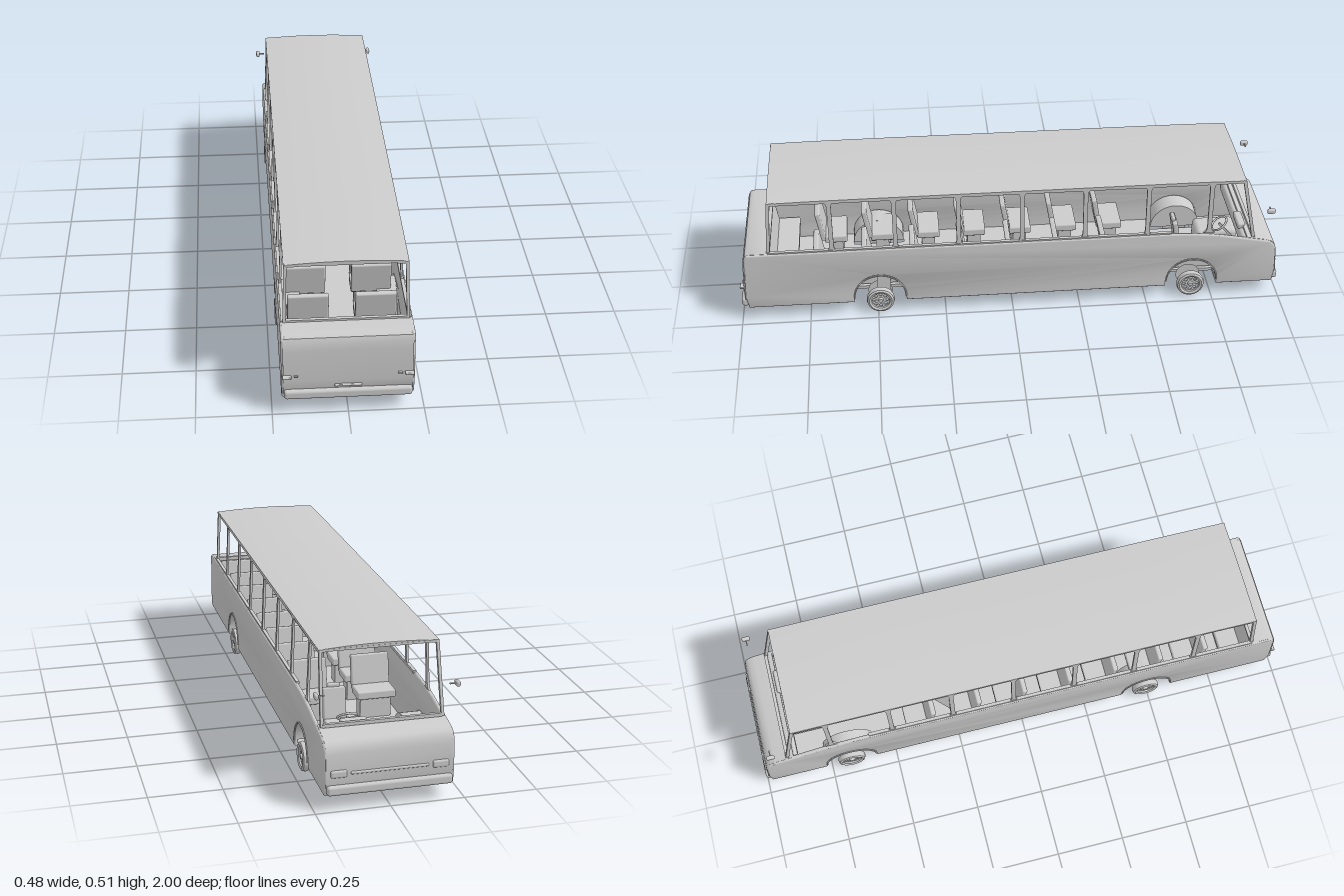
import * as THREE from 'three';
import { toCreasedNormals } from 'three/addons/utils/BufferGeometryUtils.js';
import { RoundedBoxGeometry } from 'three/addons/geometries/RoundedBoxGeometry.js';

const mat = new THREE.MeshStandardMaterial({ color: 0xcccccc });
const thin = new THREE.MeshStandardMaterial({ color: 0xcccccc, side: THREE.DoubleSide });
const WHEELS = [0.49, -0.67];
const SILL = 0.28, ROOF = 0.495;

export function createModel() {
  const bus = new THREE.Group();

  function add(name, geo, pos = [0, 0, 0], parent = bus, material = mat) {
    const m = new THREE.Mesh(geo, material);
    m.name = name;
    m.position.set(...pos);
    parent.add(m);
    return m;
  }
  const box = (name, w, h, d, x, y, z, parent = bus) =>
    add(name, new THREE.BoxGeometry(w, h, d), [x, y, z], parent);
  const rbox = (name, w, h, d, x, y, z, r, parent = bus) =>
    add(name, new RoundedBoxGeometry(w, h, d, 3, r), [x, y, z], parent);
  const polygon = pts => new THREE.Shape(pts.map(p => new THREE.Vector2(...p)));

  // Extrudes a (z, y) outline along x, from x0 to x1
  function extrudeX(shape, x0, x1, bevel = 0) {
    const g = new THREE.ExtrudeGeometry(shape, {
      depth: x1 - x0 - 2 * bevel, bevelEnabled: bevel > 0, bevelSize: bevel,
      bevelThickness: bevel, bevelOffset: -bevel, bevelSegments: 3, curveSegments: 20,
    });
    g.rotateY(-Math.PI / 2).translate(x1 - bevel, 0, 0);
    return toCreasedNormals(g, 0.6);
  }
  // A straight bar with square section between two points
  function bar(name, a, b, w, d) {
    const p = new THREE.Vector3(...a), q = new THREE.Vector3(...b);
    const m = box(name, w, p.distanceTo(q), d, 0, 0, 0);
    m.position.copy(p).add(q).multiplyScalar(0.5);
    m.quaternion.setFromUnitVectors(new THREE.Vector3(0, 1, 0), q.sub(p).normalize());
  }

  // Side walls with wheel arches cut from the lower edge
  const side = new THREE.Shape();
  side.moveTo(0.972, 0.05);
  for (const z of WHEELS) {
    side.lineTo(z + 0.096, 0.05);
    side.lineTo(z + 0.096, 0.072);
    side.absarc(z, 0.072, 0.096, 0, Math.PI, false);
    side.lineTo(z - 0.096, 0.05);
  }
  side.lineTo(-0.978, 0.05);
  side.lineTo(-0.985, 0.1);
  side.lineTo(-0.98, 0.2);
  side.quadraticCurveTo(-0.975, 0.228, -0.94, 0.237);
  side.lineTo(-0.78, 0.268);
  side.quadraticCurveTo(-0.68, 0.284, -0.58, 0.285);
  side.lineTo(0.955, 0.285);
  side.quadraticCurveTo(0.972, 0.285, 0.974, 0.265);
  side.lineTo(0.982, 0.1);
  for (const s of [-1, 1])
    add('sideWall', extrudeX(side, s > 0 ? 0.204 : -0.218, s > 0 ? 0.218 : -0.204, 0.006));

  // End panels with their decks
  const rear = polygon([[0.97, 0.05], [0.983, 0.08], [0.985, 0.12], [0.98, 0.23], [0.977, 0.262],
    [0.97, 0.278], [0.955, 0.286], [0.88, 0.286], [0.88, 0.278], [0.955, 0.276], [0.966, 0.255], [0.973, 0.1], [0.96, 0.05]]);
  add('tailPanel', extrudeX(rear, -0.212, 0.212));
  const nose = polygon([[-0.966, 0.05], [-0.972, 0.1], [-0.968, 0.2], [-0.935, 0.228], [-0.87, 0.242], [-0.87, 0.252],
    [-0.94, 0.238], [-0.962, 0.23], [-0.976, 0.215], [-0.982, 0.19], [-0.988, 0.1], [-0.978, 0.05]]);
  add('nosePanel', extrudeX(nose, -0.212, 0.212));

  // Floor pan, narrowed at the wheel wells
  box('floor', 0.27, 0.012, 1.94, 0, 0.056, 0);
  const spans = [[0.965, 0.586], [0.394, -0.574], [-0.766, -0.975]];
  for (const s of [-1, 1]) for (const [a, b] of spans)
    box('floorEdge', 0.075, 0.012, a - b, s * 0.1725, 0.056, (a + b) / 2);

  // Wheel: bulged side wall, drilled rim, hub and plain inner disc
  const tyre = toCreasedNormals(new THREE.LatheGeometry([[0.05, 0.198], [0.052, 0.206], [0.049, 0.218], [0.042, 0.222],
    [0.034, 0.218], [0.032, 0.208]].map(p => new THREE.Vector2(...p)), 32).rotateZ(-Math.PI / 2), 0.7);
  const disc = new THREE.Shape().absarc(0, 0, 0.034, 0, Math.PI * 2);
  for (let i = 0; i < 8; i++) {
    const a = i * Math.PI / 4;
    disc.holes.push(new THREE.Path().absarc(0.024 * Math.cos(a), 0.024 * Math.sin(a), 0.006, 0, Math.PI * 2, true));
  }
  const rim = extrudeX(disc, 0.207, 0.212);
  const hub = new THREE.CylinderGeometry(0.008, 0.012, 0.012, 16).rotateZ(-Math.PI / 2);
  const inner = new THREE.CircleGeometry(0.045, 32).rotateY(Math.PI / 2);
  const well = new THREE.CylinderGeometry(0.096, 0.096, 0.078, 24, 1, true, 0, Math.PI).rotateZ(Math.PI / 2);
  const wellCap = new THREE.CircleGeometry(0.096, 24, 0, Math.PI).rotateY(Math.PI / 2);
  for (const s of [-1, 1]) for (const z of WHEELS) {
    const g = new THREE.Group();
    g.name = 'wheel';
    g.position.set(0, 0.052, z);
    if (s < 0) g.rotation.y = Math.PI;
    bus.add(g);
    add('tyre', tyre, [0, 0, 0], g, thin);
    add('rim', rim, [0, 0, 0], g);
    add('hub', hub, [0.214, 0, 0], g);
    add('innerDisc', inner, [0.15, 0, 0], g, thin);
    add('wheelWell', well, [0.174, 0.02, 0], g, thin);
    add('wellCap', wellCap, [0.135, 0.02, 0], g, thin);
    const lip = new THREE.TorusGeometry(0.095, 0.003, 6, 24, Math.PI).rotateY(Math.PI / 2);
    add('archLip', lip, [0.218, 0.02, 0], g);
  }

  // Roof with a shallow crown
  const roof = new THREE.BoxGeometry(0.404, 0.01, 1.72, 16, 1, 12);
  const rp = roof.attributes.position;
  for (let i = 0; i < rp.count; i++) {
    const x = rp.getX(i) / 0.202, z = rp.getZ(i) / 0.86;
    rp.setY(i, rp.getY(i) + 0.008 * (1 - x * x) - 0.003 * z ** 8);
  }
  roof.computeVertexNormals();
  add('roof', roof, [0, 0.494, 0.013]);

  // Side window pillars, flared where they meet sill and roof
  const pillar = new THREE.Shape();
  pillar.moveTo(-0.022, SILL);
  pillar.lineTo(0.022, SILL);
  pillar.quadraticCurveTo(0.008, SILL + 0.008, 0.008, SILL + 0.03);
  pillar.lineTo(0.008, ROOF - 0.03);
  pillar.quadraticCurveTo(0.008, ROOF - 0.008, 0.022, ROOF);
  pillar.lineTo(-0.022, ROOF);
  pillar.quadraticCurveTo(-0.008, ROOF - 0.008, -0.008, ROOF - 0.03);
  pillar.lineTo(-0.008, SILL + 0.03);
  pillar.quadraticCurveTo(-0.008, SILL + 0.008, -0.022, SILL);
  for (const s of [-1, 1]) {
    const g = extrudeX(pillar, -0.004, 0.004);
    const p = g.attributes.position;
    for (let i = 0; i < p.count; i++) p.setX(i, p.getX(i) + s * (0.207 - 0.042 * (p.getY(i) - SILL)));
    for (let i = 0; i < 7; i++) add('windowPillar', g, [0, 0, 0.655 - 0.23 * i]);
    bar('rearPillar', [s * 0.203, SILL, 0.885], [s * 0.196, ROOF, 0.868], 0.01, 0.012);
    bar('windscreenPillar', [s * 0.203, 0.25, -0.893], [s * 0.196, ROOF, -0.843], 0.01, 0.012);
    box('roofRail', 0.01, 0.012, 1.71, s * 0.196, 0.491, 0.013);
    box('sillRail', 0.012, 0.01, 1.47, s * 0.207, 0.285, 0.15);
  }
  box('rearSill', 0.4, 0.01, 0.012, 0, 0.288, 0.884);
  box('windscreenSill', 0.4, 0.012, 0.012, 0, 0.255, -0.893);
  for (const z of [0.866, -0.842]) box('roofEndRail', 0.4, 0.008, 0.012, 0, 0.493, z);

  // Small pane behind the cab
  const pane = new THREE.ShapeGeometry(polygon([[-0.275, 0.34], [-0.27, 0.495], [-0.33, 0.495]])).rotateY(-Math.PI / 2);
  add('cabPane', pane, [-0.199, 0, 0], bus, thin);

  // Bumpers, lamps, plate bar and mirrors
  rbox('rearBumper', 0.42, 0.034, 0.028, 0, 0.07, 0.984, 0.01);
  rbox('frontBumper', 0.42, 0.034, 0.026, 0, 0.07, -0.986, 0.01);
  rbox('plateLamp', 0.09, 0.007, 0.012, 0, 0.1, 0.986, 0.003);
  rbox('grilleBar', 0.26, 0.01, 0.01, 0, 0.125, -0.986, 0.004);
  for (const s of [-1, 1]) {
    rbox('tailLamp', 0.03, 0.008, 0.022, s * 0.2, 0.14, 0.988, 0.003);
    rbox('reverseLamp', 0.014, 0.006, 0.012, s * 0.17, 0.14, 0.985, 0.002);
    rbox('headlamp', 0.055, 0.026, 0.016, s * 0.17, 0.125, -0.984, 0.007);
    rbox('mirror', 0.014, 0.019, 0.03, s * 0.234, 0.38, -0.942, 0.006);
    box('mirrorArm', 0.022, 0.004, 0.004, s * 0.218, 0.38, -0.942);
  }

  // Passenger benches face the windscreen
  function seat(name, x, z, w) {
    const g = new THREE.Group();
    g.name = name;
    g.position.set(x, 0, z);
    bus.add(g);
    box('seatBase', w * 0.8, 0.08, 0.05, 0, 0.1, -0.01, g);
    rbox('cushion', w, 0.03, 0.085, 0, 0.152, -0.01, 0.006, g);
    rbox('backrest', w, 0.125, 0.02, 0, 0.21, 0.045, 0.006, g).rotation.x = 0.17;
    return g;
  }
  for (let i = 0; i < 7; i++) for (const s of [-1, 1]) seat('bench', s * 0.115, 0.66 - 0.175 * i, 0.14);
  seat('rearBench', 0, 0.84, 0.38);

  // Driver's place
  const driver = seat('driverSeat', 0.09, -0.67, 0.08);
  rbox('headrest', 0.045, 0.025, 0.014, 0, 0.272, 0.058, 0.005, driver);
  rbox('dashboard', 0.4, 0.05, 0.06, 0, 0.215, -0.885, 0.012);
  rbox('instrumentPod', 0.09, 0.025, 0.03, 0.09, 0.247, -0.865, 0.008);
  add('steeringWheel', new THREE.TorusGeometry(0.033, 0.004, 8, 24), [0.09, 0.235, -0.79]).rotation.x = -0.9;
  bar('steeringColumn', [0.09, 0.235, -0.79], [0.09, 0.15, -0.86], 0.008, 0.008);
  rbox('engineCover', 0.1, 0.1, 0.16, -0.02, 0.11, -0.8, 0.02);

  return bus;
}
